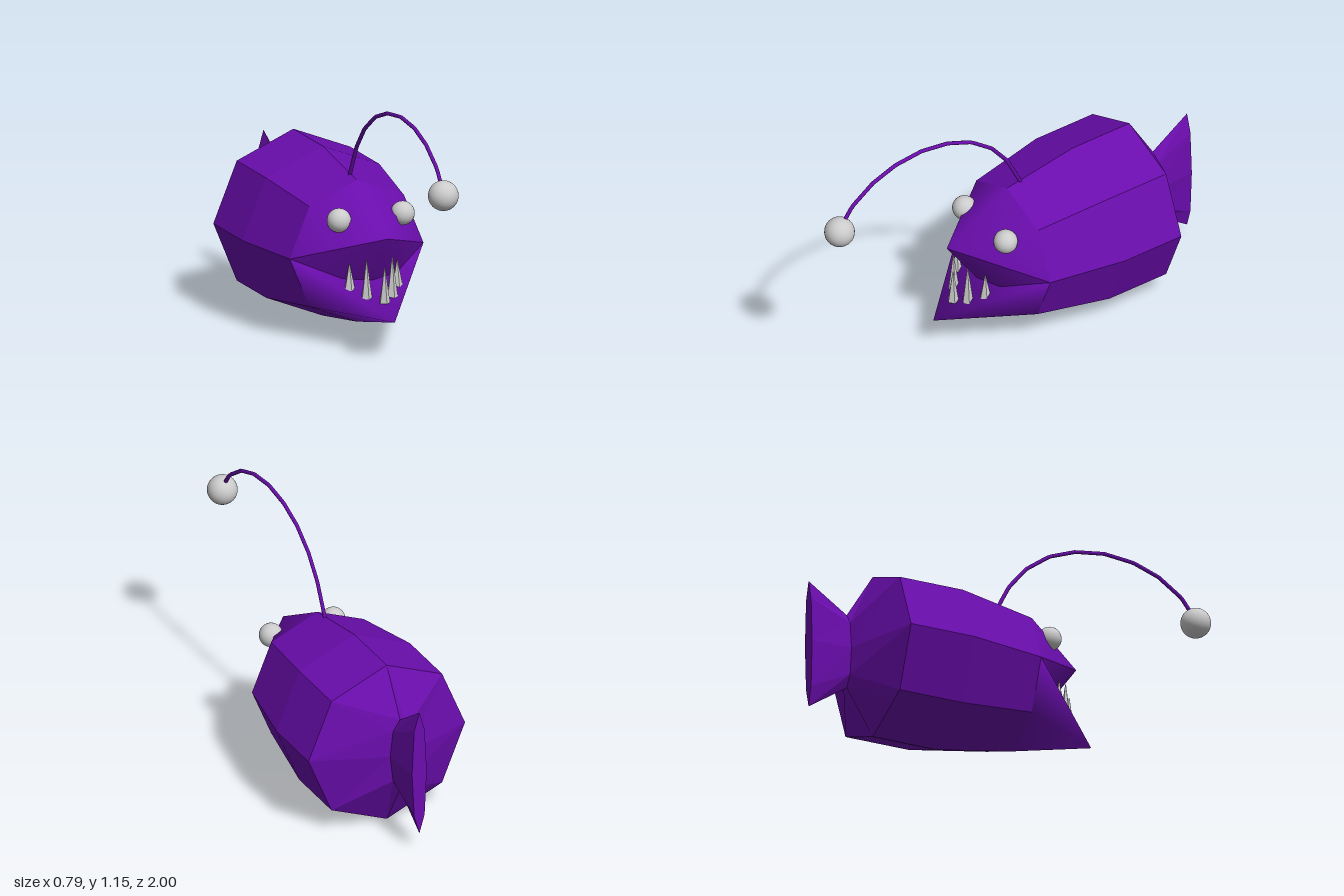
import * as THREE from 'three';

const CY = 0.4; // height of the body axis

// Point i of an eight-sided ring, starting at the top and turning towards +x
const ringPoint = (i, rx, ry, z) => {
  const a = (i * Math.PI) / 4;
  return [Math.sin(a) * rx, CY + Math.cos(a) * ry, z];
};

function indexed(points, faces) {
  const g = new THREE.BufferGeometry();
  g.setAttribute('position', new THREE.Float32BufferAttribute(points.flat(), 3));
  g.setIndex(faces.flat());
  g.computeVertexNormals();
  return g;
}

// Skin over rings [z, rx, ry] running front to back
function loft(rings, capBack) {
  const points = [], faces = [];
  rings.forEach(([z, rx, ry]) => {
    for (let i = 0; i < 8; i++) points.push(ringPoint(i, rx, ry, z));
  });
  for (let j = 0; j < rings.length - 1; j++) {
    for (let i = 0; i < 8; i++) {
      const a = j * 8 + i, b = j * 8 + ((i + 1) % 8);
      faces.push([a, b, a + 8], [b, b + 8, a + 8]);
    }
  }
  const s = (rings.length - 1) * 8;
  if (capBack) for (let i = 1; i < 7; i++) faces.push([s, s + i, s + i + 1]);
  return indexed(points, faces);
}

// Half cone from the front body ring to a tip, optionally closed by a flat floor
function halfCone(start, tip, floor) {
  const points = [tip], faces = [];
  for (let i = 0; i <= 4; i++) points.push(ringPoint(start + i, 0.33, 0.33, 0));
  for (let i = 1; i <= 4; i++) faces.push([0, i + 1, i]);
  if (floor) faces.push([5, 0, 1]);
  return indexed(points, faces);
}

export function createModel() {
  const model = new THREE.Group();
  const purple = { color: 0x6a0dad };
  const skinFlat = new THREE.MeshStandardMaterial({ ...purple, flatShading: true });
  const skinSmooth = new THREE.MeshStandardMaterial({ ...purple, side: THREE.DoubleSide });
  const grey = new THREE.MeshStandardMaterial({ color: 0xcccccc });
  const greyFlat = new THREE.MeshStandardMaterial({ color: 0xcccccc, flatShading: true });

  const add = (name, geometry, material, x = 0, y = 0, z = 0) => {
    const mesh = new THREE.Mesh(geometry, material);
    mesh.name = name;
    mesh.position.set(x, y, z);
    model.add(mesh);
    return mesh;
  };

  // Faceted body, pinched into a flat tail fin
  add('body', loft([
    [0, 0.33, 0.33],
    [-0.365, 0.395, 0.395],
    [-0.68, 0.395, 0.395],
    [-0.81, 0.05, 0.18],
  ]), skinFlat);
  add('tailFin', loft([[-0.81, 0.05, 0.18], [-1, 0.037, 0.31]], true), skinFlat);

  // Open jaws
  const snout = [0, 0.54, 0.335];
  add('upperHead', halfCone(-2, snout), skinSmooth);
  add('mouthRoof', halfCone(2, snout), skinSmooth);
  add('lowerJaw', halfCone(2, [0, 0.17, 0.41], true), skinSmooth);

  // Eyes
  const eye = new THREE.SphereGeometry(0.055, 24, 16);
  add('rightEye', eye, grey, -0.147, 0.592, 0.13);
  add('leftEye', eye, grey, 0.167, 0.59, 0.13);

  // Teeth: x, base height, tip height, z
  [
    [-0.123, 0.282, 0.402, 0.19],
    [-0.066, 0.25, 0.425, 0.25],
    [0, 0.234, 0.395, 0.3],
    [0.056, 0.247, 0.43, 0.26],
    [0.108, 0.277, 0.396, 0.2],
  ].forEach(([x, base, top, z]) => {
    const h = top - base;
    add('tooth', new THREE.CylinderGeometry(0.002, 0.026, h, 5), greyFlat, x, base + h / 2, z);
  });

  // Lure stalk made of straight segments, given as z, y
  const path = new THREE.CurvePath();
  const stalk = [
    [-0.08, 0.72], [-0.07, 0.745], [0, 0.885], [0.085, 0.99], [0.2, 1.075], [0.33, 1.125],
    [0.475, 1.145], [0.62, 1.13], [0.745, 1.085], [0.86, 1.005], [0.93, 0.91],
  ].map(([z, y]) => new THREE.Vector3(0, y, z));
  for (let i = 1; i < stalk.length; i++) path.add(new THREE.LineCurve3(stalk[i - 1], stalk[i]));
  add('lureStalk', new THREE.TubeGeometry(path, 60, 0.009, 8), skinSmooth);
  add('lureBulb', new THREE.SphereGeometry(0.069, 32, 20), grey, 0, 0.895, 0.931);

  return model;
}
